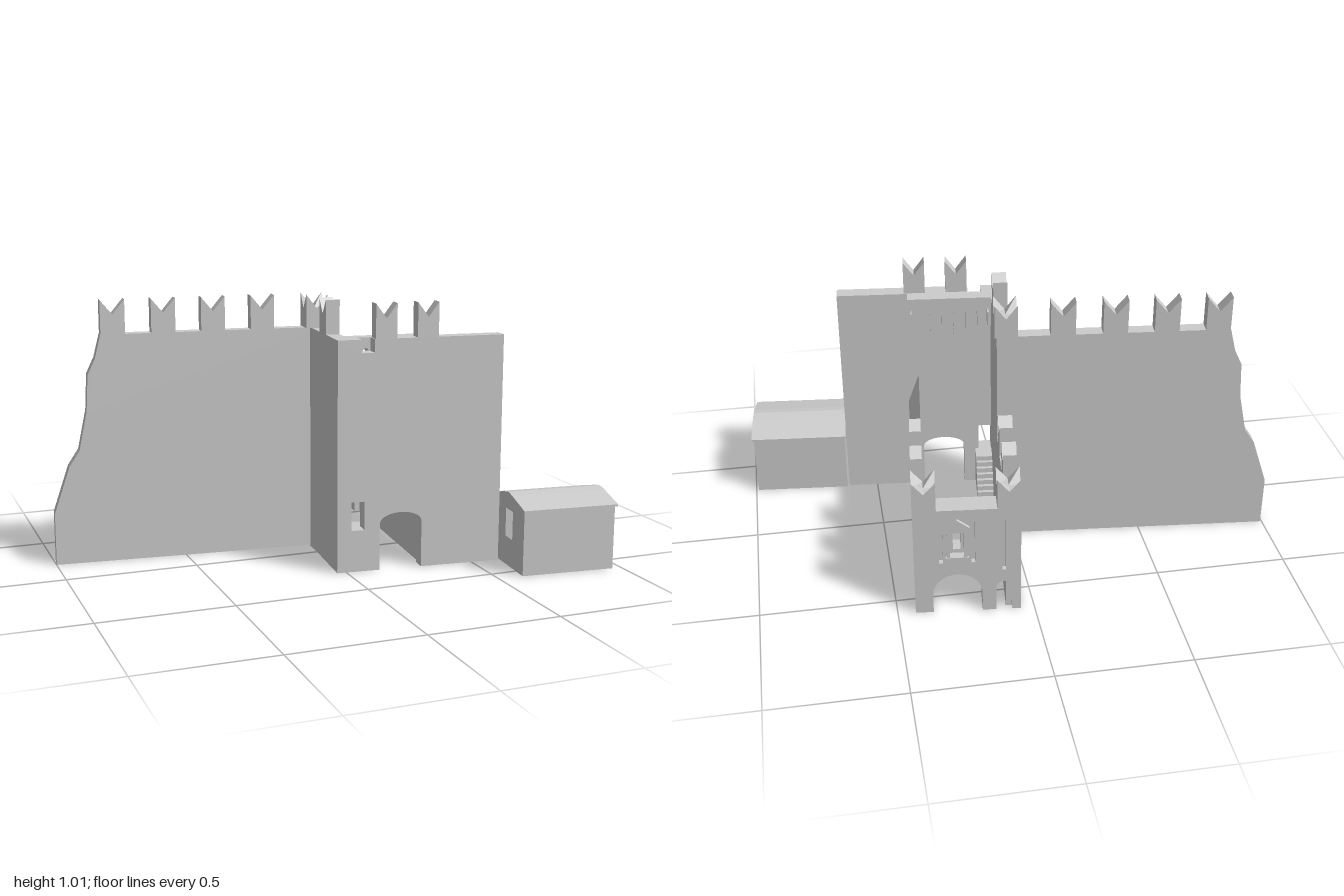
import * as THREE from 'three';

const mat = new THREE.MeshStandardMaterial({ color: 0xcccccc, flatShading: true });
const HIGH = 0.88, LOW = 0.45;

// Outline helper: points to a shape, with optional hole outlines
function outline(points, holes = []) {
  const s = new THREE.Shape(points.map(p => new THREE.Vector2(p[0], p[1])));
  holes.forEach(h => s.holes.push(new THREE.Path(h.map(p => new THREE.Vector2(p[0], p[1])))));
  return s;
}
const rect = (a, b, c, d) => [[a, c], [b, c], [b, d], [a, d]];

// Points of an arch from its right springing to its left one
function arc(cx, y, half, rise, n = 14) {
  return Array.from({ length: n + 1 }, (_, i) => {
    const t = Math.PI * i / n;
    return [cx + half * Math.cos(t), y + rise * Math.sin(t)];
  });
}

export function createModel() {
  const model = new THREE.Group();
  const castle = new THREE.Group();
  castle.name = 'castle';
  castle.rotation.y = -0.095;
  model.add(castle);

  const add = (name, geo, parent = castle) => {
    const m = new THREE.Mesh(geo, mat);
    m.name = name;
    parent.add(m);
    return m;
  };
  const box = (name, x0, x1, y0, y1, z0, z1) => {
    const g = new THREE.BoxGeometry(x1 - x0, y1 - y0, z1 - z0);
    g.translate((x0 + x1) / 2, (y0 + y1) / 2, (z0 + z1) / 2);
    return add(name, g);
  };
  // Wall running along x: outline in (x, y), thick from z0 to z1
  const alongX = (name, pts, holes, z0, z1) => {
    const g = new THREE.ExtrudeGeometry(outline(pts, holes), { depth: z1 - z0, bevelEnabled: false });
    g.translate(0, 0, z0);
    return add(name, g);
  };
  // Wall running along z: outline in (z, y), thick from x0 to x1
  const alongZ = (name, pts, holes, x0, x1) => {
    const flip = l => l.map(([z, y]) => [-z, y]);
    const g = new THREE.ExtrudeGeometry(outline(flip(pts), holes.map(flip)), { depth: x1 - x0, bevelEnabled: false });
    g.rotateY(Math.PI / 2);
    g.translate(x0, 0, 0);
    return add(name, g);
  };
  // Swallowtail merlon outline
  const tail = (c, y, w, h, notch) =>
    [[c - w / 2, y], [c + w / 2, y], [c + w / 2, y + h], [c, y + h - notch], [c - w / 2, y + h]];
  // Corner merlon with four horns
  const cornerMerlon = (x, z, y, size, h, notch) => {
    const g = new THREE.BoxGeometry(size, h, size, 2, 1, 2);
    const p = g.attributes.position;
    for (let i = 0; i < p.count; i++) {
      const horn = Math.abs(p.getX(i)) > 0.01 && Math.abs(p.getZ(i)) > 0.01;
      if (p.getY(i) > 0 && !horn) p.setY(i, h / 2 - notch);
    }
    g.translate(x, y + h / 2, z);
    add('cornerMerlon', g);
  };

  // Long ruined wall
  alongX('ruinedWall', [[-1.013, 0], [0.045, 0], [0.045, HIGH], [-0.82, HIGH], [-0.843, 0.79], [-0.872, 0.73],
    [-0.88, 0.59], [-0.912, 0.44], [-0.952, 0.38], [-1.013, 0.2]], [], -0.15, -0.099);
  [-0.773, -0.582, -0.391, -0.198].forEach(c =>
    alongX('ruinedWallMerlon', tail(c, HIGH, 0.092, 0.13, 0.055), [], -0.15, -0.099));
  cornerMerlon(0.012, -0.115, HIGH, 0.085, 0.13, 0.055);

  // Side wall of the court: tall front half, low rear half
  alongZ('leftCourtWall', [[0.25, 0], [0.25, HIGH], [-0.15, HIGH], [-0.15, LOW], [-0.6, LOW], [-0.6, 0]], [], -0.008, 0.046);
  alongZ('leftCourtMerlon', tail(0.08, HIGH, 0.09, 0.13, 0.055), [], -0.008, 0.046);

  // Opposite side wall, with a steep weathered top on the front half
  alongZ('rightCourtWall', [[-0.157, 0], [-0.6, 0], [-0.6, LOW], [-0.157, LOW]], [], 0.335, 0.378);
  alongX('rightSlopedWall', [[0.335, 0], [0.378, 0], [0.378, 0.4], [0.335, 0.52]], [], -0.157, 0.235);

  // Low merlons on both side walls and the gate corners
  for (const [x0, x1] of [[-0.008, 0.046], [0.335, 0.378]])
    for (const z of [-0.235, -0.42])
      alongZ('lowMerlon', tail(z, LOW, 0.09, 0.12, 0.05), [], x0, x1);
  cornerMerlon(0.0345, -0.5775, LOW, 0.085, 0.12, 0.05);
  cornerMerlon(0.3355, -0.5775, LOW, 0.085, 0.12, 0.05);

  // Front wall with gateway, small window and a notch in the parapet
  alongX('frontWall', [[-0.008, 0], [0.158, 0], [0.158, 0.18], ...arc(0.241, 0.18, 0.083, 0.04).reverse(),
    [0.324, 0], [0.64, 0], [0.64, HIGH], [0.133, HIGH], [0.133, 0.83], [0.083, 0.83], [0.083, HIGH], [-0.008, HIGH]],
  [rect(0.047, 0.098, 0.16, 0.27)], 0.23, 0.287);
  [0.178, 0.34].forEach(c =>
    alongX('frontMerlon', tail(c, HIGH, 0.082, 0.13, 0.055), [], 0.235, 0.287));

  // Wall walk on arched corbels
  const bays = 7, x0 = 0.046, bay = (0.368 - x0) / bays;
  const scallops = [];
  for (let i = 0; i < bays; i++)
    scallops.push(...arc(x0 + (i + 0.5) * bay, 0.805, bay * 0.36, 0.035, 8).reverse());
  alongX('wallWalk', [[x0, 0.805], ...scallops, [0.368, 0.805], [0.368, HIGH], [x0, HIGH]], [], 0.178, 0.232);
  for (let i = 0; i <= bays; i++) {
    const c = Math.min(Math.max(x0 + i * bay, x0 + 0.007), 0.361);
    alongZ('corbel', [[0.235, 0.7], [0.22, 0.7], [0.22, 0.725], [0.207, 0.725], [0.207, 0.75], [0.192, 0.75],
      [0.192, 0.81], [0.235, 0.81]], [], c - 0.007, c + 0.007);
  }

  // Stair beside the wall, rising to a landing at the small window
  const steps = 8;
  for (let i = 0; i < steps; i++)
    box('stairStep', 0.046, 0.112, 0, 0.16 * (i + 1) / steps, 0.065 + i * 0.014, i === steps - 1 ? 0.23 : 0.079 + i * 0.014);

  // Gatehouse wall: core with passages, outer skin with recesses
  const gateOutline = [[-0.008, 0], [0.024, 0], [0.024, 0.1], ...arc(0.053, 0.1, 0.029, 0.029).reverse(), [0.082, 0],
    [0.132, 0], [0.132, 0.08], ...arc(0.222, 0.08, 0.09, 0.088).reverse(), [0.312, 0],
    [0.378, 0], [0.378, LOW], [-0.008, LOW]];
  const niche = [[0.197, 0.25], [0.247, 0.25], ...arc(0.222, 0.34, 0.025, 0.02, 8)];
  alongX('gateWallCore', gateOutline, [rect(0.208, 0.236, 0.265, 0.335)], -0.598, -0.54);
  alongX('gateWallSkin', gateOutline,
    [niche, rect(0.157, 0.171, 0.22, 0.4), rect(0.273, 0.287, 0.22, 0.4), rect(0.046, 0.06, 0.18, 0.4)], -0.62, -0.598);

  // Frame and pediment round the niche
  box('nicheJamb', 0.185, 0.197, 0.245, 0.37, -0.628, -0.619);
  box('nicheJamb', 0.247, 0.259, 0.245, 0.37, -0.628, -0.619);
  box('nicheSill', 0.18, 0.264, 0.235, 0.25, -0.63, -0.619);
  alongX('nichePediment', [[0.176, 0.37], [0.268, 0.37], [0.268, 0.38], [0.222, 0.415], [0.176, 0.38]], [], -0.632, -0.619);

  // Small house: long walls, gables with windows, thin pitched roof
  box('houseLongWall', 0.648, 1.016, 0, 0.245, 0.222, 0.237);
  box('houseLongWall', 0.648, 1.016, 0, 0.245, 0.49, 0.505);
  const gable = [[0.222, 0], [0.505, 0], [0.505, 0.248], [0.363, 0.282], [0.222, 0.248]];
  for (const x of [0.648, 1.001])
    alongZ('houseGable', gable, [rect(0.335, 0.4, 0.11, 0.22)], x, x + 0.015);
  alongZ('houseRoof', [[0.21, 0.245], [0.363, 0.281], [0.515, 0.245], [0.515, 0.253], [0.4, 0.283], [0.363, 0.29],
    [0.326, 0.283], [0.21, 0.253]], [], 0.643, 1.0235);

  return model;
}
